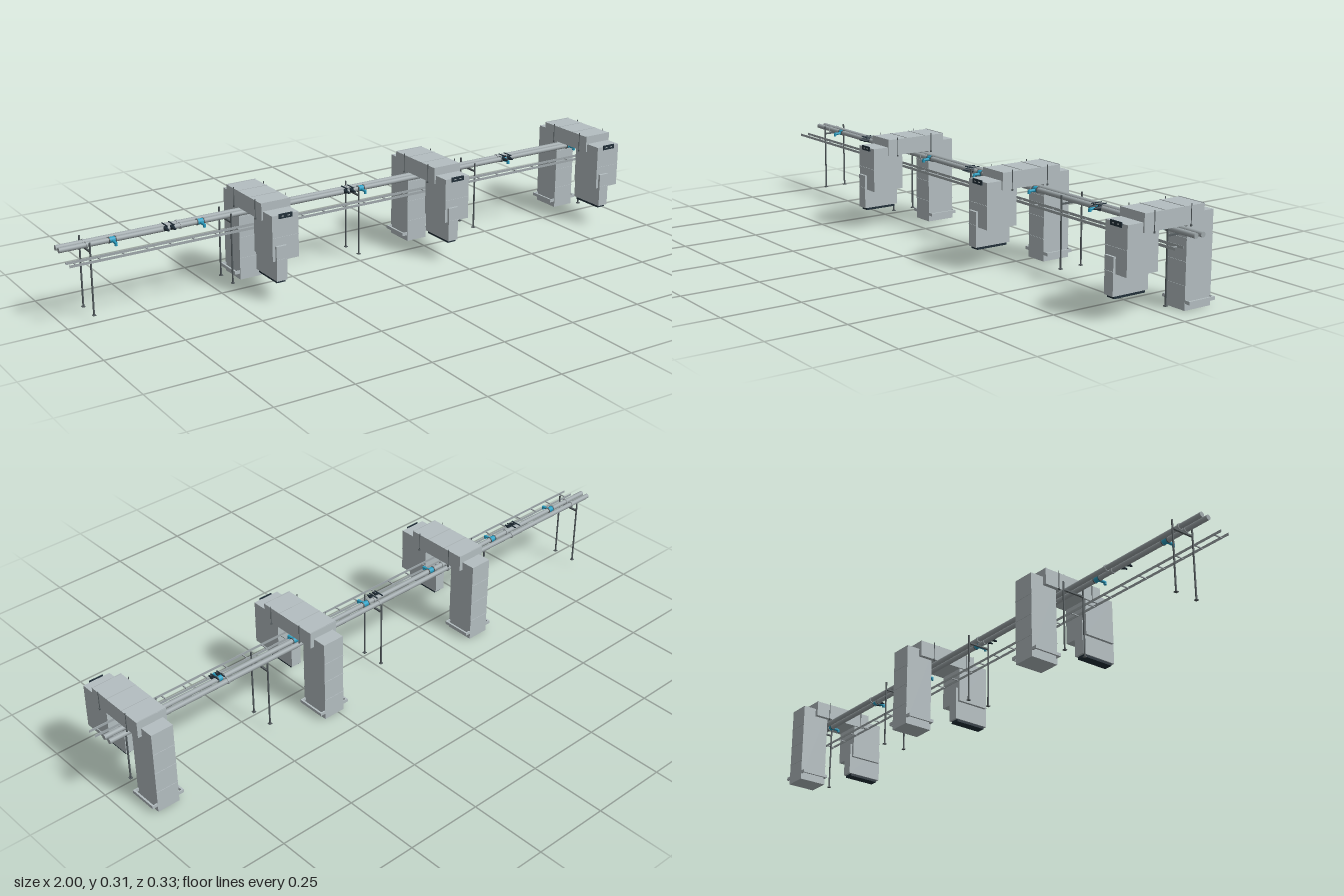
import * as THREE from 'three';

const mat = (name, color) => new THREE.MeshStandardMaterial({ name, color });

export function createModel() {
  const panel = mat('panelGrey', 0xb4bec1);
  const steel = mat('steelGrey', 0xa0a9ac);
  const dark = mat('darkSteel', 0x565e61);
  const navy = mat('darkNavy', 0x22303a);
  const cyan = mat('valveCyan', 0x2aa0c4);
  const root = new THREE.Group();
  root.name = 'pipelineWithGantries';

  // Box given by its min and max on each axis
  const box = (parent, name, m, x0, x1, y0, y1, z0, z1) => {
    const mesh = new THREE.Mesh(new THREE.BoxGeometry(x1 - x0, y1 - y0, z1 - z0), m);
    mesh.position.set((x0 + x1) / 2, (y0 + y1) / 2, (z0 + z1) / 2);
    mesh.name = name;
    parent.add(mesh);
  };
  // Cylinder centred at x, y, z along the given axis
  const rod = (parent, name, m, axis, r, len, x, y, z, rEnd = r) => {
    const g = new THREE.CylinderGeometry(rEnd, r, len, 16);
    if (axis === 'x') g.rotateZ(-Math.PI / 2);
    if (axis === 'z') g.rotateX(Math.PI / 2);
    const mesh = new THREE.Mesh(g, m);
    mesh.position.set(x, y, z);
    mesh.name = name;
    parent.add(mesh);
  };

  // Gantries straddling the line
  for (const x of [-0.363, 0.265, 0.892]) {
    const g = new THREE.Group();
    g.name = 'gantry';
    g.position.x = x;
    root.add(g);
    box(g, 'rearColumn', panel, -0.037, 0.037, 0, 0.275, -0.161, -0.065);
    box(g, 'topBeam', panel, -0.05, 0.05, 0.247, 0.3, -0.115, 0.101);
    box(g, 'frontCabinet', panel, -0.045, 0.045, 0.132, 0.275, 0.045, 0.155);
    box(g, 'lowerCabinet', panel, -0.036, 0.0, 0.07, 0.18, 0.038, 0.163);
    box(g, 'lowerCabinetBase', navy, -0.033, -0.003, 0.062, 0.07, 0.046, 0.155);

    // Raised panel seams
    for (const y of [0.07, 0.138, 0.205]) {
      box(g, 'columnSeam', panel, -0.037, 0.037, y - 0.001, y + 0.001, -0.1625, -0.161);
      box(g, 'columnSeam', panel, -0.037, 0.037, y - 0.001, y + 0.001, -0.065, -0.0635);
    }
    for (const z of [0.1, 0.03, -0.042, -0.113])
      box(g, 'beamSeam', panel, -0.05, 0.05, 0.3, 0.3015, z - 0.001, z + 0.001);
    box(g, 'cabinetSeam', panel, -0.045, 0.045, 0.204, 0.206, 0.155, 0.1565);
    box(g, 'lowerCabinetSeam', panel, -0.036, 0, 0.137, 0.139, 0.163, 0.1645);

    // Display on the front cabinet
    box(g, 'display', navy, -0.023, 0.023, 0.264, 0.279, 0.155, 0.158);
    for (const s of [-1, 1])
      box(g, 'displayWindow', steel, s * 0.01 - 0.004, s * 0.01 + 0.004, 0.27, 0.273, 0.158, 0.159);

    // Foot frame around the column
    for (const s of [-1, 1]) {
      box(g, 'footSideBar', panel, s * 0.052 - 0.003, s * 0.052 + 0.003, 0.02, 0.03, -0.161, -0.066);
      for (const z of [-0.161, -0.07])
        box(g, 'footCrossBar', panel, s * 0.043 - 0.006, s * 0.043 + 0.006, 0.02, 0.03, z, z + 0.004);
      // Rods along the sides of the beam
      for (const z of [0.067, -0.065]) {
        rod(g, 'beamRod', dark, 'y', 0.0012, 0.062, s * 0.052, 0.275, z);
        rod(g, 'rodFoot', dark, 'y', 0.003, 0.005, s * 0.052, 0.245, z);
      }
    }
  }

  // Twin pipes with flanges
  for (const z of [-0.032, -0.057]) {
    rod(root, 'pipe', steel, 'x', 0.008, 2, 0, 0.232, z);
    for (let i = 0; i < 7; i++)
      rod(root, 'pipeFlange', steel, 'x', 0.01, 0.006, -0.915 + i * 0.3, 0.232, z);
  }

  // Cable ladder
  for (const z of [0.015, 0.044])
    box(root, 'ladderRail', steel, -1, 1, 0.203, 0.211, z - 0.0006, z + 0.0006);
  for (let i = 0; i < 27; i++) {
    const x = -0.975 + i * 0.075;
    box(root, 'ladderRung', steel, x - 0.0018, x + 0.0018, 0.203, 0.206, 0.015, 0.044);
  }

  // Support posts in pairs with a cross bar
  for (let i = -2; i <= 2; i++) {
    const x = i * 0.457;
    for (const z of [-0.008, -0.085]) {
      rod(root, 'supportPost', dark, 'y', 0.0028, 0.225, x, 0.1325, z);
      box(root, 'postFoot', dark, x - 0.005, x + 0.005, 0.02, 0.0225, z - 0.005, z + 0.005);
    }
    box(root, 'postCrossBar', dark, x - 0.003, x + 0.003, 0.216, 0.221, -0.085, -0.008);
  }

  // Blue branch valves along the front pipe
  for (let i = 0; i < 7; i++) {
    const x = -0.835 + i * 0.2855;
    rod(root, 'valveSleeve', cyan, 'x', 0.009, 0.018, x, 0.232, -0.032);
    rod(root, 'valveBranch', cyan, 'z', 0.0045, 0.022, x, 0.23, -0.014);
    rod(root, 'valveOutlet', cyan, 'y', 0.0045, 0.01, x, 0.227, -0.003);
    for (const s of [-1, 1])
      rod(root, 'valveCollar', dark, 'x', 0.01, 0.003, x + s * 0.0105, 0.232, -0.032);
  }

  // Dark drain valves with handles
  for (const cx of [-0.655, -0.027, 0.6]) {
    for (const s of [-1, 1]) {
      const x = cx + s * 0.011;
      rod(root, 'drainCone', navy, 'z', 0.008, 0.026, x, 0.234, -0.016, 0.002);
      rod(root, 'drainStem', navy, 'y', 0.0015, 0.014, x, 0.239, -0.02);
      box(root, 'drainHandle', navy, x - 0.002, x + 0.002, 0.244, 0.246, -0.05, -0.012);
    }
  }
  return root;
}
